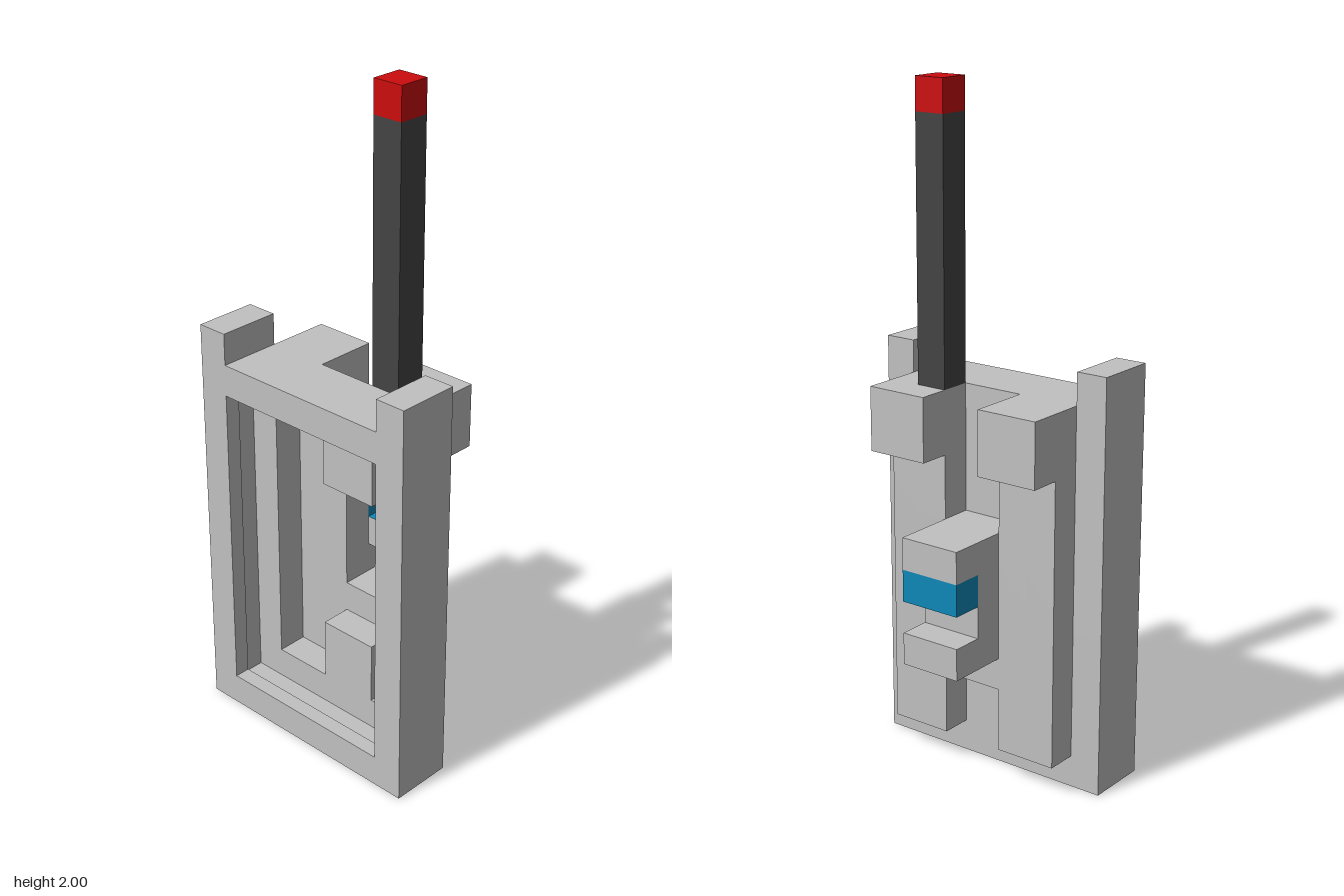
import * as THREE from 'three';

const U = 2 / 21; // one block; z layers sit half a block off centre

const plastic = new THREE.MeshStandardMaterial({ color: 0xc1c1c1, side: THREE.DoubleSide });
plastic.name = 'lightGreyPlastic';
const blue = new THREE.MeshStandardMaterial({ color: 0x0e88b8, side: THREE.DoubleSide });
blue.name = 'blueButton';
const dark = new THREE.MeshStandardMaterial({ color: 0x444444 });
dark.name = 'darkAntenna';
const red = new THREE.MeshStandardMaterial({ color: 0xcc0c0e });
red.name = 'redTip';

// Hollow parts as block ranges: [x0, x1, y0, y1, z0, z1]
const PARTS = [
  { name: 'frontCase', mat: plastic, boxes: [
    [-4, 4, 0, 12, 0.5, 2.5], [-4, -3, 12, 13, 0.5, 2.5], [3, 4, 12, 13, 0.5, 2.5]] },
  { name: 'backPanel', mat: plastic, boxes: [
    [-3, -1, 1, 12, -0.5, 0.5], [1, 3, 1, 12, -0.5, 0.5], [-1, 1, 3, 8, -0.5, 0.5]] },
  { name: 'upperBlocks', mat: plastic, boxes: [
    [-3, -1, 10, 12, -1.5, -0.5], [1, 3, 10, 12, -1.5, -0.5]] },
  { name: 'backClip', mat: plastic, boxes: [
    [-1, 1, 4, 8, -1.5, -0.5], [-1, 1, 7, 8, -2.5, -1.5], [-1, 1, 4, 5, -2.5, -1.5]] },
  { name: 'button', mat: blue, boxes: [[-1, 1, 6, 7, -2.5, -1.5]] },
];

// Adds a quad (origin plus two edges, normal = a x b)
function quad(pos, o, a, b) {
  const p = (s, t) => [0, 1, 2].map(i => (o[i] + a[i] * s + b[i] * t) * U);
  pos.push(...p(0, 0), ...p(1, 0), ...p(1, 1), ...p(0, 0), ...p(1, 1), ...p(0, 1));
}

function quadMesh(name, pos, mat) {
  const g = new THREE.BufferGeometry();
  g.setAttribute('position', new THREE.Float32BufferAttribute(pos, 3));
  g.computeVertexNormals();
  const m = new THREE.Mesh(g, mat);
  m.name = name;
  return m;
}

const inWindow = (x, y, z) => z === 1.5 && x >= -3 && x < 3 && y >= 1 && y < 11;

function cellsOf(boxes) {
  const cells = [];
  for (const [x0, x1, y0, y1, z0, z1] of boxes)
    for (let x = x0; x < x1; x++)
      for (let y = y0; y < y1; y++)
        for (let z = z0; z < z1; z++) cells.push([x, y, z]);
  return cells;
}

function box(name, x, y0, y1, mat) {
  const m = new THREE.Mesh(new THREE.BoxGeometry(U, (y1 - y0) * U, U), mat);
  m.position.set(x * U, (y0 + y1) / 2 * U, 0);
  m.name = name;
  return m;
}

export function createModel() {
  const model = new THREE.Group();
  model.name = 'handheldRadio';

  // Outer skin of the joined blocks, hollow and open at the front window
  const solid = new Set(PARTS.flatMap(p => cellsOf(p.boxes)).map(c => c.join()));
  for (const part of PARTS) {
    const pos = [];
    for (const c of cellsOf(part.boxes)) {
      for (let axis = 0; axis < 3; axis++) {
        for (const dir of [-1, 1]) {
          const next = c.slice();
          next[axis] += dir;
          if (solid.has(next.join())) continue;
          if (axis === 2 && dir === 1 && inWindow(...c)) continue;
          const o = c.slice(), a = [0, 0, 0], b = [0, 0, 0];
          if (dir > 0) o[axis] += 1;
          a[(axis + 1) % 3] = 1;
          b[(axis + 2) % 3] = 1;
          if (dir > 0) quad(pos, o, a, b);
          else quad(pos, o, b, a);
        }
      }
    }
    model.add(quadMesh(part.name, pos, part.mat));
  }

  // Shallow lip around the front window
  const lip = [];
  quad(lip, [-3, 1, 2], [0, 10, 0], [0, 0, 0.5]);
  quad(lip, [3, 1, 2], [0, 0, 0.5], [0, 10, 0]);
  quad(lip, [-3, 1, 2], [0, 0, 0.5], [6, 0, 0]);
  quad(lip, [-3, 11, 2], [6, 0, 0], [0, 0, 0.5]);
  model.add(quadMesh('windowLip', lip, plastic));

  // Antenna
  model.add(box('antenna', 1.5, 12, 20, dark));
  model.add(box('antennaTip', 1.5, 20, 21, red));
  return model;
}
